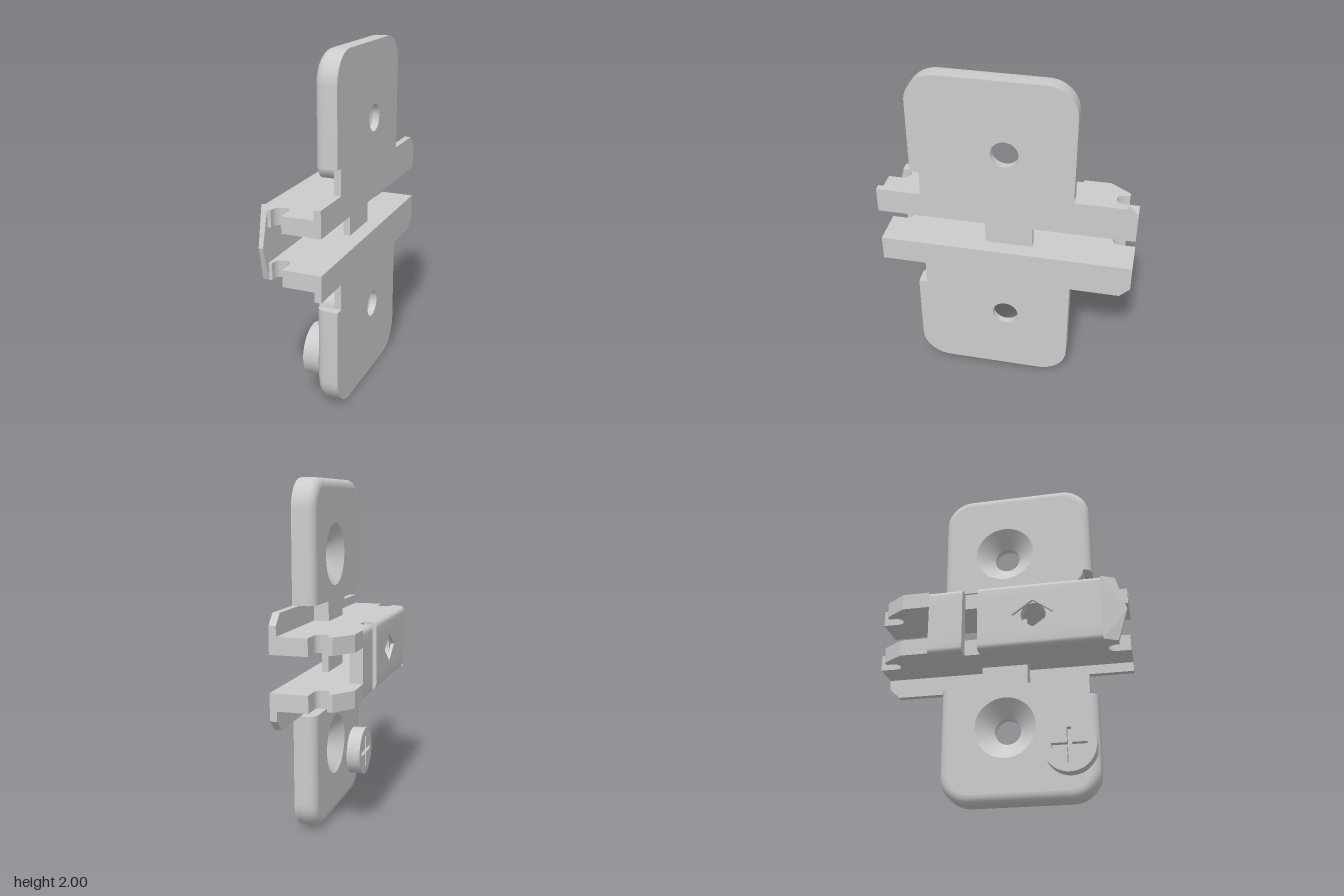
import * as THREE from 'three';
import { toCreasedNormals } from 'three/addons/utils/BufferGeometryUtils.js';
import { ConvexGeometry } from 'three/addons/geometries/ConvexGeometry.js';

const solid = new THREE.MeshStandardMaterial({ color: 0xcccccc });
const thin = new THREE.MeshStandardMaterial({ color: 0xcccccc, side: THREE.DoubleSide });
const MID = 1; // height of the mirror plane

const poly = pts => new THREE.Shape(pts.map(p => new THREE.Vector2(...p)));
const circle = (x, y, r) => new THREE.Path().absarc(x, y, r, 0, Math.PI * 2);
const prism = (shape, depth) => toCreasedNormals(
  new THREE.ExtrudeGeometry(shape, { depth, bevelEnabled: false, curveSegments: 20 }), 0.6);
// shape in (z, y), extruded between x0 and x1
const alongX = (shape, x0, x1) => prism(shape, x1 - x0).rotateY(-Math.PI / 2).translate(x1, 0, 0);
// shape in (x, z), extruded between y0 and y1
const alongY = (shape, y0, y1) => prism(shape, y1 - y0).rotateX(Math.PI / 2).translate(0, y1, 0);
const box = (x0, x1, y0, y1, z0, z1) => new THREE.BoxGeometry(x1 - x0, y1 - y0, z1 - z0)
  .translate((x0 + x1) / 2, (y0 + y1) / 2, (z0 + z1) / 2);

// quarter arc points around (cz, cy)
function arc(cz, cy, r, a0, a1, n = 12) {
  return Array.from({ length: n + 1 }, (_, k) => {
    const a = a0 + (a1 - a0) * k / n;
    return [cz + r * Math.cos(a), cy + r * Math.sin(a)];
  });
}
const roundedTop = i => [
  ...arc(-0.22, 0.83, 0.17 - i, Math.PI, Math.PI / 2),
  ...arc(0.36, 0.83, 0.17 - i, Math.PI / 2, 0),
];
// raised face of the plate: the outer rim is drawn in by i
const faceOutline = (s, i) => [
  [-0.39 + i, 0.31], ...roundedTop(i), [0.53 - i, 0.4],
  ...arc(0.4, 0.4, 0.08, 0, -Math.PI / 2, 8),
  [0.13, 0.31], [0.13, 0.195], [-0.14, 0.195], [-0.14, 0.31],
].map(([z, y]) => [z, s * y]);

// strip of quads through the stacked outlines of the raised face
function rimGeometry(s) {
  const rings = [[0.16, 0]];
  for (let k = 0; k <= 6; k++) {
    const a = k / 6 * Math.PI / 2;
    rings.push([0.12 - 0.05 * Math.sin(a), 0.05 * (1 - Math.cos(a))]);
  }
  const pos = [], index = [];
  const n = faceOutline(s, 0).length;
  rings.forEach(([x, i]) => faceOutline(s, i).forEach(([z, y]) => pos.push(x, y, z)));
  for (let r = 0; r < rings.length - 1; r++) {
    for (let k = 0; k < n; k++) {
      const a = r * n + k, b = r * n + (k + 1) % n;
      if (s > 0) index.push(a, b, a + n, b, b + n, a + n);
      else index.push(a, a + n, b, b, a + n, b + n);
    }
  }
  const g = new THREE.BufferGeometry();
  g.setAttribute('position', new THREE.Float32BufferAttribute(pos, 3));
  g.setIndex(index);
  return toCreasedNormals(g, 0.6);
}

export function createModel() {
  const model = new THREE.Group();
  const body = new THREE.Group();
  body.name = 'mountingPlate';
  body.position.y = MID;
  model.add(body);
  const add = (name, geometry, material = solid) => {
    const m = new THREE.Mesh(geometry, material);
    m.name = name;
    body.add(m);
    return m;
  };

  // side wall of the channel, notched at both ends
  const wall = new THREE.Shape();
  wall.moveTo(0.2, -0.74).lineTo(-0.01, -0.74).lineTo(-0.01, -0.645);
  wall.absarc(-0.05, -0.645, 0.04, 0, Math.PI, false);
  [[-0.09, -0.68], [-0.12, -0.68], [-0.205, -0.56], [-0.205, -0.4], [-0.13, -0.4],
    [-0.13, 0.68], [-0.11, 0.68], [-0.11, 0.66]].forEach(p => wall.lineTo(...p));
  wall.absarc(-0.065, 0.66, 0.045, Math.PI, Math.PI * 2, false);
  wall.lineTo(-0.02, 0.74).lineTo(0.2, 0.74);

  for (const s of [1, -1]) {
    const side = s > 0 ? 'upper' : 'lower';

    // flat back sheet with its ledges beside the channel
    const back = poly([
      [-0.74, 0.195], [-0.74, 0.25], [-0.68, 0.31], [-0.39, 0.31], ...roundedTop(0),
      [0.53, 0.4], [0.48, 0.4], [0.48, 0.25], [0.74, 0.25], [0.74, 0.195],
    ].map(([z, y]) => [z, s * y]));
    back.holes.push(circle(-0.005, s * 0.57, 0.077));
    add(side + 'BackSheet', alongX(back, 0.16, 0.2));

    // raised face with rounded rim
    add(side + 'Rim', rimGeometry(s), thin);
    const face = poly(faceOutline(s, 0.05));
    face.holes.push(circle(-0.005, s * 0.57, 0.18));
    add(side + 'Face', new THREE.ShapeGeometry(face, 20)
      .rotateY(-Math.PI / 2).translate(0.07, 0, 0), thin);

    // countersink
    const cone = new THREE.LatheGeometry(
      [new THREE.Vector2(0.18, -0.07), new THREE.Vector2(0.077, -0.16)], 40);
    add(side + 'Countersink', cone.rotateZ(Math.PI / 2).translate(0, s * 0.57, -0.005), thin);

    // channel wall
    add(side + 'ChannelWall', s > 0 ? alongY(wall, 0.1, 0.195) : alongY(wall, -0.195, -0.1));

    // rounded outer edges of the web, either side of the slot
    const edge = poly([[-0.13, 0.1], [-0.13, 0.195],
      ...arc(-0.175, 0.165, 0.03, Math.PI / 2, Math.PI, 6), [-0.205, 0.1]]
      .map(([x, y]) => [x, s * y]));
    for (const [z0, z1] of [[-0.4, -0.2], [-0.11, 0.6]]) {
      add(side + 'WebEdge', prism(edge, z1 - z0).translate(0, 0, z0));
    }
  }

  // web of the channel: a short bridge and a long strip with a screw hole
  add('webBridge', box(-0.205, -0.13, -0.1, 0.1, -0.4, -0.2));
  const strip = hole => {
    const shape = poly([[-0.11, -0.1], [0.6, -0.1], [0.6, 0.1], [-0.11, 0.1]]);
    shape.holes.push(hole);
    return shape;
  };
  add('webStrip', alongX(strip(circle(0.21, 0, 0.072)), -0.185, -0.13));
  add('webRecess', alongX(strip(poly([[0.09, 0], [0.21, -0.085], [0.33, 0], [0.21, 0.085]])),
    -0.205, -0.185));

  // pointed nose of the web
  const nose = [];
  for (const y of [-0.195, 0.195]) {
    for (const [x, z] of [[-0.205, 0.6], [-0.165, 0.68], [-0.13, 0.68], [-0.13, 0.6]]) {
      nose.push(new THREE.Vector3(x, y, z));
    }
  }
  nose.push(new THREE.Vector3(-0.155, 0, 0.738), new THREE.Vector3(-0.13, 0, 0.738));
  add('webNose', new ConvexGeometry(nose));

  // cross bar inside the channel
  add('crossBar', box(0.07, 0.11, -0.1, 0.1, -0.15, 0.13));

  // adjusting screw with a cross recess
  const head = new THREE.Shape().absarc(0.37, -0.72, 0.15, 0, Math.PI * 2);
  const w = 0.013, l = 0.1;
  head.holes.push(poly([[w, w], [w, l], [-w, l], [-w, w], [-l, w], [-l, -w],
    [-w, -w], [-w, -l], [w, -l], [w, -w], [l, -w], [l, w]]
    .map(([z, y]) => [z + 0.37, y - 0.72])));
  add('screwHead', alongX(head, -0.015, 0.025));
  add('screwBase', new THREE.CylinderGeometry(0.15, 0.15, 0.055, 40)
    .rotateZ(Math.PI / 2).translate(0.0525, -0.72, 0.37));

  return model;
}
